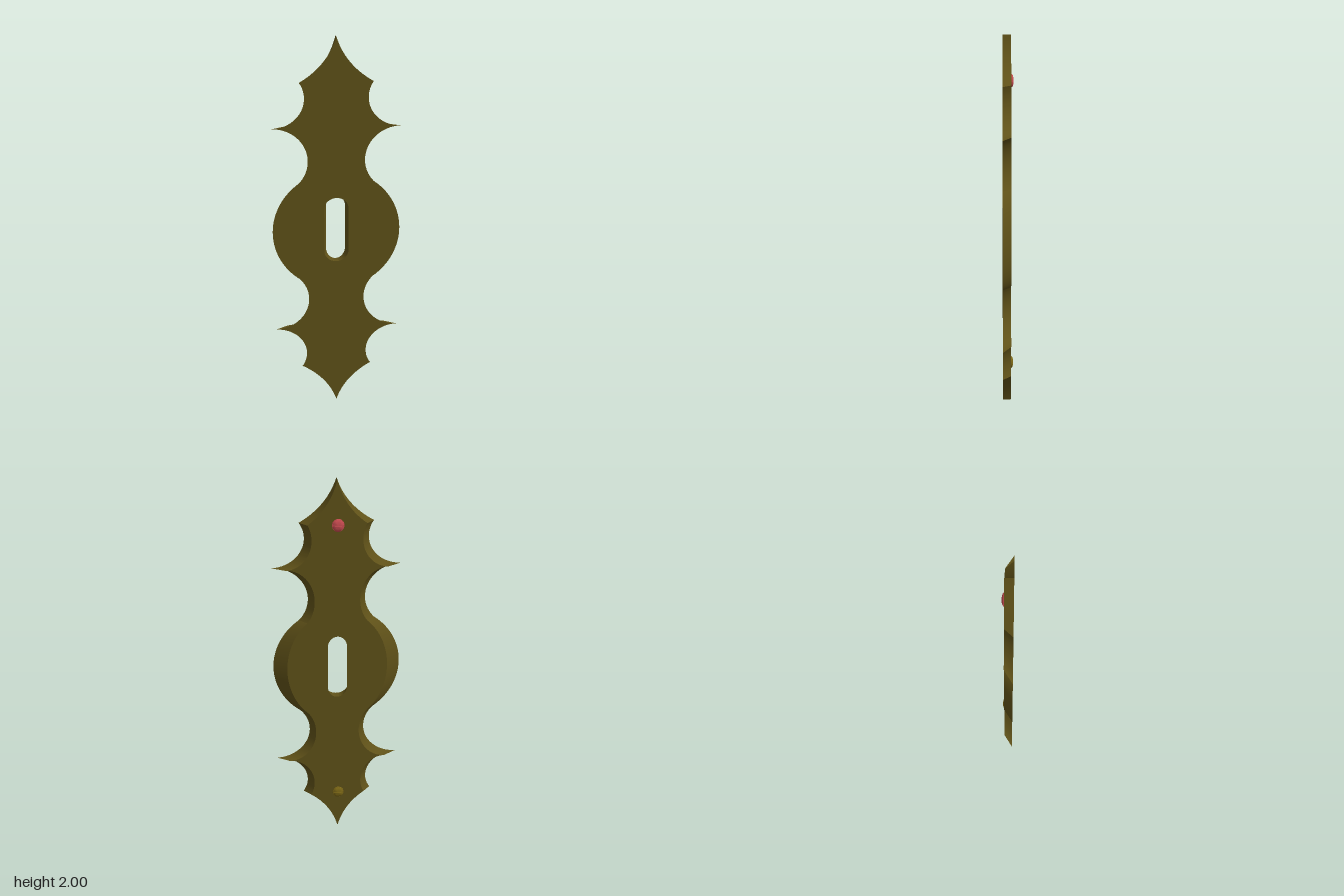
import * as THREE from 'three';
import { toCreasedNormals } from 'three/addons/utils/BufferGeometryUtils.js';

const FRONT = 0.027, BACK = -0.016, TAPER = 0.79;

// Quarter outline (right, upper): tip, two scallops, centre bulge
function quarterOutline() {
  const path = new THREE.Path();
  path.moveTo(0, 2);
  path.quadraticCurveTo(0.045, 1.86, 0.185, 1.78);
  path.absellipse(0.325, 1.702, 0.165, 0.15, Math.PI - 0.55, Math.PI * 1.5, false);
  path.absellipse(0.325, 1.38, 0.18, 0.172, Math.PI / 2, Math.PI + 0.78, false);
  path.absellipse(0, 1, 0.329, 0.325, 0.955, 0, true);
  return path.getPoints(20);
}

function createPlate(material) {
  const quarter = quarterOutline();
  const lower = quarter.map(p => new THREE.Vector2(p.x, 2 - p.y)).reverse().slice(1);
  const right = [...quarter, ...lower];
  const left = right.slice(1, -1).map(p => new THREE.Vector2(-p.x, p.y)).reverse();
  const shape = new THREE.Shape([...right, ...left]);

  // Rounded slot through the middle
  const slot = new THREE.Path();
  slot.absellipse(0, 1.12, 0.063, 0.06, 0, Math.PI, false);
  slot.absellipse(0, 0.89, 0.063, 0.06, Math.PI, Math.PI * 2, false);
  shape.holes.push(slot);

  let geometry = new THREE.ExtrudeGeometry(shape, { depth: FRONT - BACK, bevelEnabled: false, curveSegments: 20 });
  geometry.translate(0, 0, BACK);

  // Narrow the plate sideways towards its back
  const pos = geometry.attributes.position;
  for (let i = 0; i < pos.count; i++) {
    const t = (pos.getZ(i) - BACK) / (FRONT - BACK);
    pos.setX(i, pos.getX(i) * THREE.MathUtils.lerp(TAPER, 1, t));
  }
  geometry = toCreasedNormals(geometry, 0.5);
  const plate = new THREE.Mesh(geometry, material);
  plate.name = 'plate';
  return plate;
}

// Domed screw head made of two halves with a slot between them
function createScrew(name, y, color) {
  const material = new THREE.MeshStandardMaterial({ color, side: THREE.DoubleSide });
  const profile = [[0.03, 0], [0.03, 0.004], [0.025, 0.008], [0.014, 0.0115], [0, 0.013]]
    .map(([x, h]) => new THREE.Vector2(x, h));
  const mirrored = profile.slice(0, -1).map(p => new THREE.Vector2(-p.x, p.y)).reverse();
  const dome = toCreasedNormals(new THREE.LatheGeometry(profile, 16, -Math.PI / 2, Math.PI).toNonIndexed(), 0.6);
  const wall = new THREE.ShapeGeometry(new THREE.Shape([...profile, ...mirrored]));

  const screw = new THREE.Group();
  screw.name = name;
  for (const side of [0, 1]) {
    const half = new THREE.Group();
    half.name = 'screwHalf';
    half.add(new THREE.Mesh(dome, material), new THREE.Mesh(wall, material));
    half.rotation.y = side * Math.PI;
    half.position.z = side ? -0.002 : 0.002;
    screw.add(half);
  }
  const base = new THREE.Mesh(new THREE.CylinderGeometry(0.03, 0.03, 0.006, 32), material);
  base.name = 'screwBase';
  base.position.y = 0.003;
  screw.add(base);

  screw.rotation.x = -Math.PI / 2;
  screw.position.set(-0.003, y, BACK);
  return screw;
}

export function createModel() {
  const model = new THREE.Group();
  model.name = 'keyholePlate';
  model.add(createPlate(new THREE.MeshStandardMaterial({ color: 0x5f5118 })));
  model.add(createScrew('upperScrew', 1.775, 0xc84b50));
  model.add(createScrew('lowerScrew', 0.228, 0x7a6615));
  return model;
}
